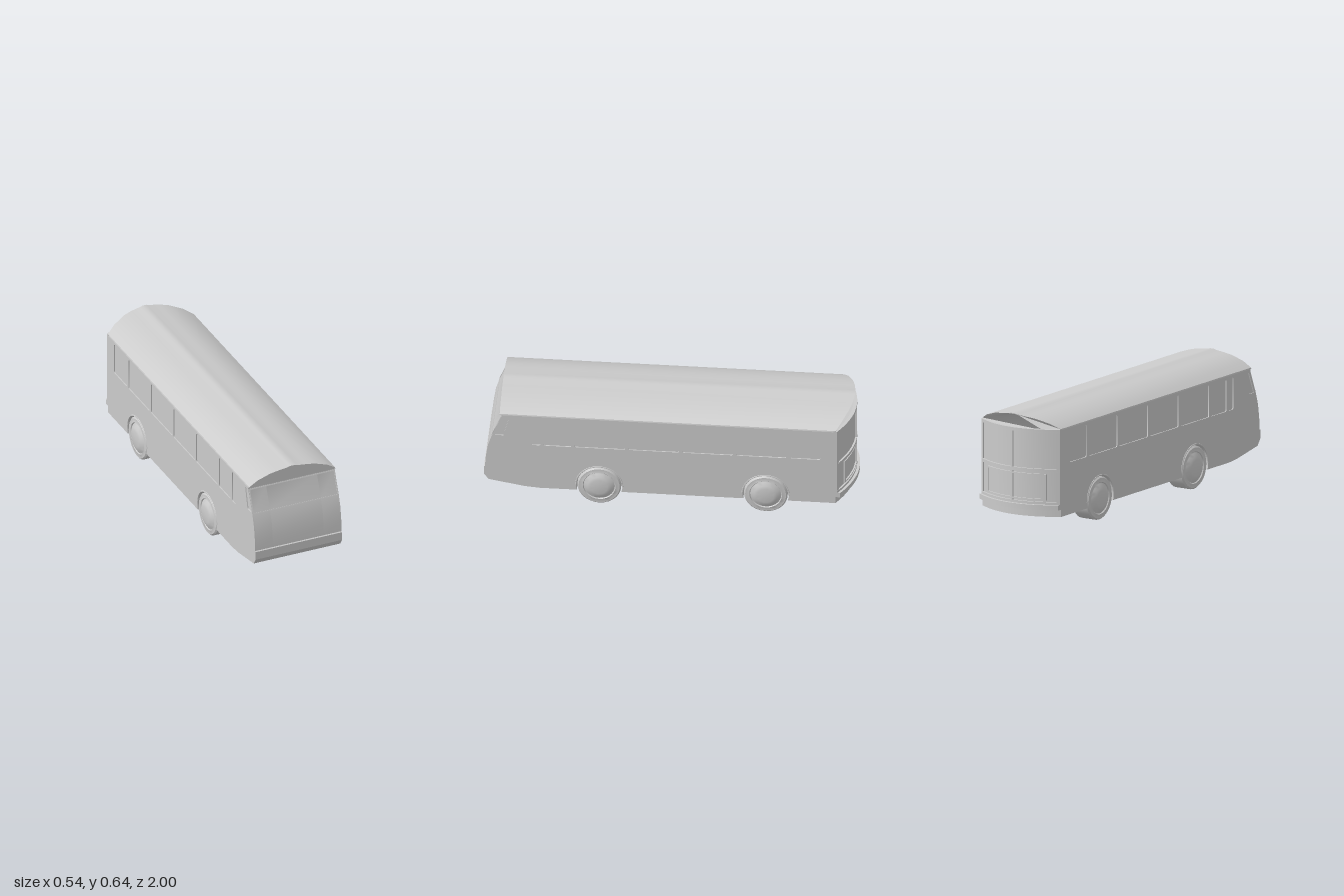
import * as THREE from 'three';
import { toCreasedNormals } from 'three/addons/utils/BufferGeometryUtils.js';

const material = new THREE.MeshStandardMaterial({ color: 0xcccccc });
const HALF = 0.255, BACK = -0.89, SILL = 0.565;
const AXLES = [0.38, -0.515], HUB_Y = 0.123;

// Rounded plan of the rear end: z for a given x
const rearZ = (x) => -0.975 + 0.085 * (x / HALF) ** 2;

function add(parent, name, geometry, crease = 0.5) {
  const mesh = new THREE.Mesh(toCreasedNormals(geometry, crease), material);
  mesh.name = name;
  parent.add(mesh);
  return mesh;
}

// Side outline in (z, y), optionally with wheel arches
function sideShape(arches) {
  const s = new THREE.Shape();
  s.moveTo(BACK, SILL);
  s.lineTo(BACK, 0.09);
  const bottom = [[0.7, 0.09], [0.78, 0.097], [0.975, 0.132]];
  const front = [[1, 0.168], [1, 0.215], [0.994, 0.219], [0.99, 0.28], [0.978, 0.36], [0.958, 0.425], [0.905, 0.555], [0.905, SILL]];
  if (arches) {
    for (const z of [...AXLES].reverse()) {
      s.lineTo(z - 0.12, 0.0905);
      s.absarc(z, 0.125, 0.125, Math.PI + 0.28, -0.28, true);
    }
  }
  for (const [z, y] of [...bottom, ...front]) s.lineTo(z, y);
  return s;
}

// Extrude a (z, y) shape from x0 to x1
function slab(shape, x0, x1) {
  const g = new THREE.ExtrudeGeometry(shape, { depth: x1 - x0, bevelEnabled: false, curveSegments: 20 });
  return g.rotateY(-Math.PI / 2).translate(x1, 0, 0);
}

function roundedRect(path, a, b, c, d, r) {
  path.moveTo(a + r, c);
  path.lineTo(b - r, c);
  path.quadraticCurveTo(b, c, b, c + r);
  path.lineTo(b, d - r);
  path.quadraticCurveTo(b, d, b - r, d);
  path.lineTo(a + r, d);
  path.quadraticCurveTo(a, d, a, d - r);
  path.lineTo(a, c + r);
  path.quadraticCurveTo(a, c, a + r, c);
  return path;
}

// Curved band following the rear plan, standing proud by "out"
function rearBand(x0, x1, y0, y1, out, innerZ) {
  const n = 16, pts = [];
  for (let i = 0; i <= n; i++) {
    const x = x0 + (x1 - x0) * i / n;
    pts.push(new THREE.Vector2(x, -rearZ(x) + out));
  }
  for (let i = n; i >= 0; i--) {
    const x = x0 + (x1 - x0) * i / n;
    pts.push(new THREE.Vector2(x, innerZ === undefined ? -rearZ(x) - 0.01 : -innerZ));
  }
  const g = new THREE.ExtrudeGeometry(new THREE.Shape(pts), { depth: y1 - y0, bevelEnabled: false });
  return g.rotateX(-Math.PI / 2).translate(0, y0, 0);
}

function buildBody(group) {
  const body = new THREE.Group();
  body.name = 'body';
  group.add(body);
  add(body, 'bodyCore', slab(sideShape(false), -0.15, 0.15));

  // Outer skin with window openings; the layer beneath forms the panes
  const skin = sideShape(true);
  const windows = [[0.695, 0.745], [0.53, 0.68], [0.24, 0.515], [-0.05, 0.225], [-0.34, -0.065], [-0.625, -0.355], [-0.81, -0.645]];
  for (const [a, b] of windows) skin.holes.push(roundedRect(new THREE.Path(), a, b, 0.375, 0.553, 0.012));
  skin.holes.push(new THREE.Path([[0.865, 0.548], [0.892, 0.548], [0.941, 0.43], [0.895, 0.43]].map(([z, y]) => new THREE.Vector2(z, y))));
  for (const side of [-1, 1]) {
    const span = (a, b) => (side > 0 ? [a, b] : [-b, -a]);
    add(body, 'sidePanes', slab(sideShape(true), ...span(0.15, 0.249)));
    add(body, 'sidePanel', slab(skin, ...span(0.249, HALF)));
  }

  // Frame around the windscreen, laid on the sloping front
  const frame = roundedRect(new THREE.Shape(), -0.253, 0.253, 0, 0.14, 0.01);
  frame.holes.push(roundedRect(new THREE.Path(), -0.247, 0.247, 0.005, 0.134, 0.01));
  const g = new THREE.ExtrudeGeometry(frame, { depth: 0.004, bevelEnabled: false });
  g.rotateX(-Math.atan2(0.053, 0.13)).translate(0, 0.425, 0.957);
  add(body, 'windscreenFrame', g);
}

function buildRoof(group) {
  // Arched section, with the rear end bent to the rounded plan
  const half = [[0.255, SILL], [0.253, 0.572], [0.205, 0.601], [0.13, 0.626], [0.08, 0.634], [0.03, 0.64], [0.012, 0.645]];
  const outline = [...half, ...half.map(([x, y]) => [-x, y]).reverse()];
  for (let i = 1; i < 12; i++) outline.push([-HALF + 2 * HALF * i / 12, SILL]);
  const g = new THREE.ExtrudeGeometry(new THREE.Shape(outline.map(([x, y]) => new THREE.Vector2(x, y))), { depth: 1, bevelEnabled: false });
  const p = g.attributes.position;
  for (let i = 0; i < p.count; i++) p.setZ(i, p.getZ(i) > 0.5 ? 0.915 : rearZ(p.getX(i)));
  add(group, 'roof', g, 0.4);
}

function buildRear(group) {
  const rear = new THREE.Group();
  rear.name = 'rearEnd';
  group.add(rear);
  add(rear, 'rearWall', rearBand(-HALF, HALF, 0.09, SILL, 0, BACK + 0.01));
  add(rear, 'rearBumper', rearBand(-HALF, HALF, 0.13, 0.158, 0.025));
  for (const [y0, y1] of [[0.552, 0.57], [0.335, 0.353], [0.158, 0.172]]) {
    add(rear, 'rearRail', rearBand(-HALF, HALF, y0, y1, 0.01));
  }
  add(rear, 'rearCentrePost', rearBand(-0.006, 0.006, 0.172, 0.552, 0.009));
  for (const side of [-1, 1]) {
    const bar = (name, a, b, y0, y1) =>
      add(rear, name, rearBand(side > 0 ? a : -b, side > 0 ? b : -a, y0, y1, 0.008));
    bar('rearCornerPost', 0.238, HALF, 0.172, 0.552);
    bar('lowerPanelPost', 0.182, 0.19, 0.18, 0.325);
    bar('lowerPanelTop', 0.006, 0.19, 0.317, 0.325);
    bar('lowerPanelBottom', 0.006, 0.19, 0.18, 0.188);
  }
}

function buildWheels(group) {
  // Tyre, rim and domed hub cap turned in one profile
  const profile = [[0, -0.1], [0.118, -0.1], [0.118, -0.008], [0.11, 0], [0.088, 0], [0.084, -0.005], [0.08, -0.003],
    [0.062, 0.009], [0.045, 0.013], [0, 0.014]].map(([r, y]) => new THREE.Vector2(r, y));
  for (const z of AXLES) {
    for (const side of [-1, 1]) {
      const wheel = add(group, 'wheel', new THREE.LatheGeometry(profile, 28), 0.6);
      wheel.rotation.z = -side * Math.PI / 2;
      wheel.position.set(side * 0.254, HUB_Y, z);
      const lip = add(group, 'wheelArchLip', new THREE.TorusGeometry(0.126, 0.005, 6, 24, Math.PI), 1);
      lip.rotation.y = Math.PI / 2;
      lip.position.set(side * 0.253, 0.125, z);
    }
  }
}

export function createModel() {
  const group = new THREE.Group();
  group.name = 'bus';
  buildBody(group);
  buildRoof(group);
  buildRear(group);
  buildWheels(group);
  return group;
}
